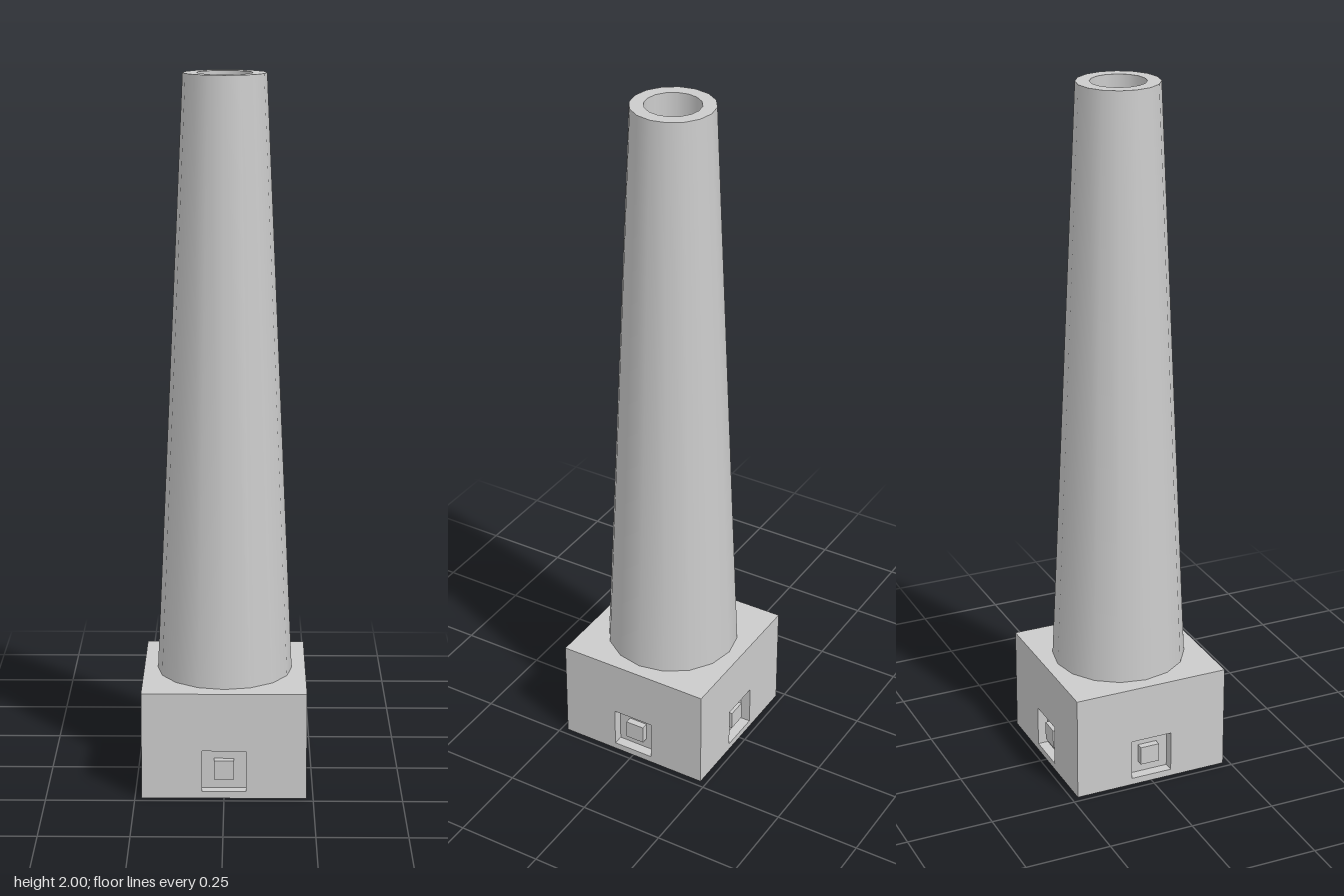
import * as THREE from 'three';

const material = new THREE.MeshStandardMaterial({ color: 0xcccccc });
const HALF = 0.231;       // half width of the plinth
const PLINTH_TOP = 0.308;
const NICHE = 0.03;       // depth of the niches
const CORE = HALF - NICHE;

function add(parent, name, geometry) {
  const mesh = new THREE.Mesh(geometry, material);
  mesh.name = name;
  parent.add(mesh);
  return mesh;
}

// One band of a 16-sided surface of revolution, with hard edges to its neighbours
function band(r0, y0, r1, y1) {
  return new THREE.LatheGeometry([new THREE.Vector2(r0, y0), new THREE.Vector2(r1, y1)], 16);
}

// Plinth wall facing +z with a square niche cut through it
function wallGeometry(halfWidth) {
  const rect = (path, x, y0, y1) =>
    path.moveTo(-x, y0).lineTo(x, y0).lineTo(x, y1).lineTo(-x, y1).closePath();
  const shape = rect(new THREE.Shape(), halfWidth, 0, PLINTH_TOP);
  shape.holes.push(rect(new THREE.Path(), 0.062, 0.02, 0.14));
  return new THREE.ExtrudeGeometry(shape, { depth: NICHE, bevelEnabled: false });
}

export function createModel() {
  const model = new THREE.Group();
  model.name = 'chimney';

  // Square plinth: a core with a niched wall on each side
  const plinth = new THREE.Group();
  plinth.name = 'plinth';
  model.add(plinth);
  add(plinth, 'plinthCore', new THREE.BoxGeometry(CORE * 2, PLINTH_TOP, CORE * 2))
    .position.y = PLINTH_TOP / 2;
  ['front', 'left', 'back', 'right'].forEach((side, i) => {
    const group = new THREE.Group();
    group.name = side + 'Side';
    group.rotation.y = i * Math.PI / 2;
    plinth.add(group);
    // Left and right walls fit between the front and back ones
    add(group, side + 'Wall', wallGeometry(i % 2 ? CORE : HALF)).position.z = CORE;
    // Small square block standing in the niche
    add(group, side + 'NicheBlock', new THREE.BoxGeometry(0.057, 0.055, 0.02))
      .position.set(0, 0.08, CORE + 0.01);
  });

  // Tapered hollow stack
  const stack = new THREE.Group();
  stack.name = 'stack';
  model.add(stack);
  add(stack, 'stackOuterWall', band(0.192, PLINTH_TOP, 0.115, 2));
  add(stack, 'stackRim', band(0.115, 2, 0.077, 2));
  add(stack, 'flueWall', band(0.077, 2, 0.077, PLINTH_TOP));

  return model;
}
